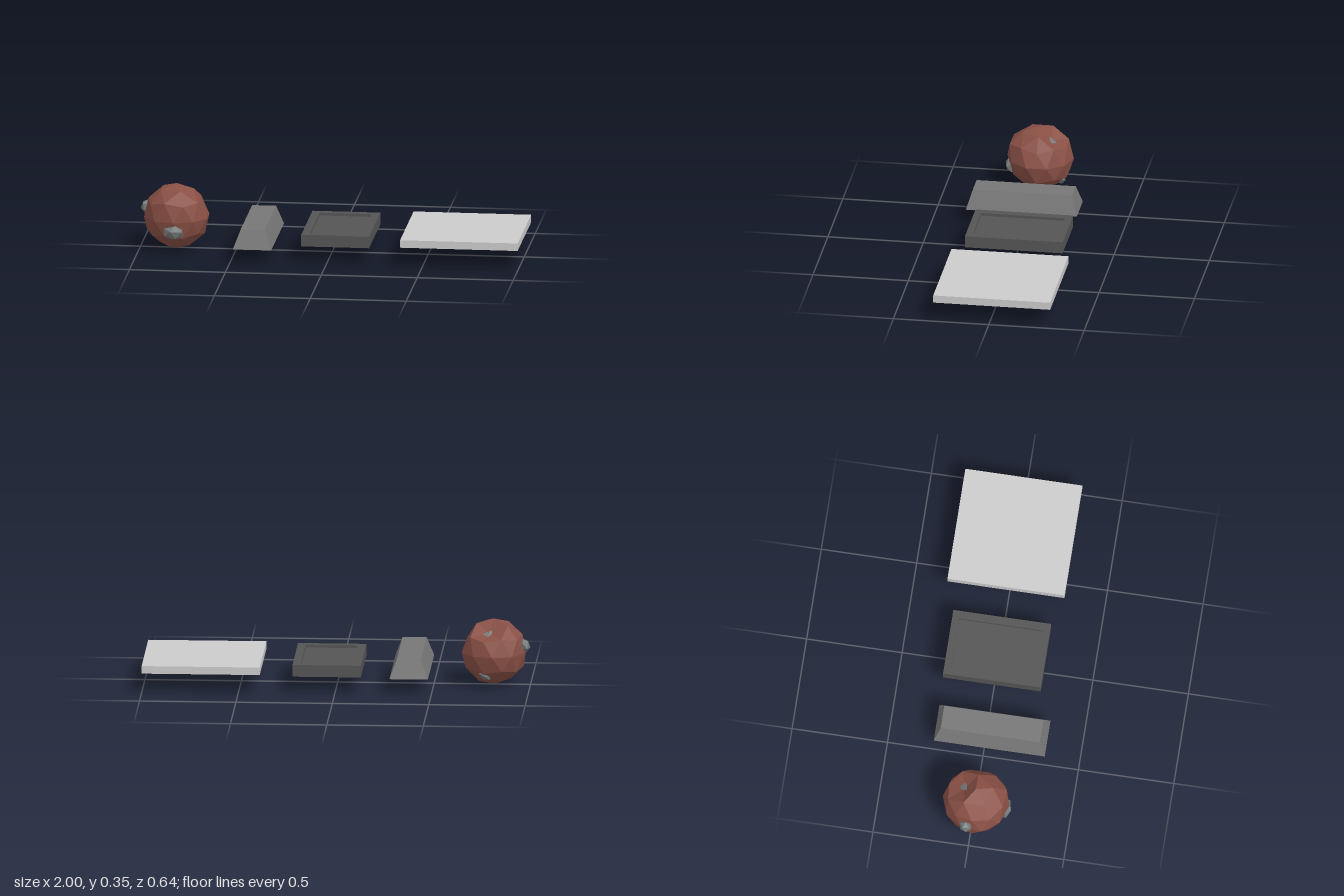
import * as THREE from 'three';

const paint = (color) => new THREE.MeshStandardMaterial({ color, flatShading: true });

function addMesh(parent, name, geometry, material, x, y, z) {
  const mesh = new THREE.Mesh(geometry, material);
  mesh.name = name;
  mesh.position.set(x, y, z);
  parent.add(mesh);
  return mesh;
}

// Faceted ball with broad bumps and dents: each is [direction, amount, sharpness]
function lumpyBall(radius, lumps) {
  const geo = new THREE.IcosahedronGeometry(1, 1);
  geo.rotateZ(-Math.atan(2 / (1 + Math.sqrt(5)))); // a corner points straight up
  const pos = geo.attributes.position;
  const v = new THREE.Vector3();
  for (let i = 0; i < pos.count; i++) {
    v.fromBufferAttribute(pos, i).normalize();
    let r = 1;
    for (const [dir, amount, sharpness] of lumps) {
      const d = new THREE.Vector3(...dir).normalize().dot(v);
      r += amount * Math.exp(-sharpness * (1 - d));
    }
    v.multiplyScalar(radius * r);
    pos.setXYZ(i, v.x, v.y, v.z);
  }
  geo.computeVertexNormals();
  return geo;
}

function createOre() {
  const ore = new THREE.Group();
  ore.name = 'oreRock';
  ore.position.set(-0.81, 0.175, 0.01);
  addMesh(ore, 'rock', lumpyBall(0.173, [
    [[0, 0.5, 0.86], 0.1, 14],
    [[0.2, 0.8, -0.55], -0.32, 25],
    [[0.9, 0.45, 0], -0.1, 25],
    [[-0.8, 0.1, -0.5], -0.06, 20],
    [[0.6, -0.6, 0.5], -0.06, 18],
    [[-0.5, -0.7, 0.2], -0.05, 18],
  ]), paint(0x8a5045), 0, 0, 0);

  // Mineral chips: [position, half width, half height, half thickness, roll]
  const chips = [
    [[0.0, -0.055, 0.155], 0.058, 0.042, 0.03, 0.4],
    [[0.035, 0.08, -0.06], 0.055, 0.038, 0.03, 0.2],
    [[-0.162, 0.038, -0.03], 0.034, 0.036, 0.028, 0.3],
    [[0.04, -0.103, -0.112], 0.04, 0.025, 0.024, 0.1],
  ];
  const chipPaint = paint(0x737a79);
  chips.forEach(([p, w, h, t, roll], i) => {
    const geo = new THREE.IcosahedronGeometry(1, 0);
    geo.rotateZ(roll);
    geo.scale(w, h, t);
    const chip = addMesh(ore, 'mineralChip' + (i + 1), geo, chipPaint, ...p);
    chip.quaternion.setFromUnitVectors(
      new THREE.Vector3(0, 0, 1), new THREE.Vector3(...p).normalize());
  });
  return ore;
}

// Bar with sloping sides: a box whose upper corners are drawn inward
function ingotGeometry(width, height, depth, topWidth, topDepth) {
  const geo = new THREE.BoxGeometry(width, height, depth);
  const pos = geo.attributes.position;
  for (let i = 0; i < pos.count; i++) {
    if (pos.getY(i) > 0) {
      pos.setX(i, Math.sign(pos.getX(i)) * topWidth / 2);
      pos.setZ(i, Math.sign(pos.getZ(i)) * topDepth / 2);
    }
  }
  geo.computeVertexNormals();
  return geo;
}

function rectangle(ShapeType, w, d) {
  return new ShapeType([
    new THREE.Vector2(-w / 2, -d / 2), new THREE.Vector2(w / 2, -d / 2),
    new THREE.Vector2(w / 2, d / 2), new THREE.Vector2(-w / 2, d / 2),
  ]);
}

// Cast plate: raised rim around a panel sunk on both faces
function createCastPlate() {
  const plate = new THREE.Group();
  plate.name = 'castPlate';
  plate.position.set(0.043, 0.119, -0.009);
  const dark = paint(0x555555);
  const height = 0.062;
  const outline = rectangle(THREE.Shape, 0.354, 0.512);
  outline.holes.push(rectangle(THREE.Path, 0.27, 0.44));
  const rim = new THREE.ExtrudeGeometry(outline, { depth: height, bevelEnabled: false });
  rim.translate(0, 0, -height / 2);
  rim.rotateX(-Math.PI / 2);
  addMesh(plate, 'rim', rim, dark, 0, 0, 0);
  addMesh(plate, 'sunkenPanel', new THREE.BoxGeometry(0.27, height - 0.03, 0.44), dark, 0, 0, 0);
  return plate;
}

export function createModel() {
  const model = new THREE.Group();
  model.name = 'metalStages';
  model.add(createOre());
  addMesh(model, 'ingot', ingotGeometry(0.2, 0.1, 0.582, 0.125, 0.52),
    paint(0x777777), -0.382, 0.13, 0.03);
  model.add(createCastPlate());
  addMesh(model, 'sheet', new THREE.BoxGeometry(0.613, 0.04, 0.613),
    paint(0xcccccc), 0.693, 0.127, -0.015);
  return model;
}
